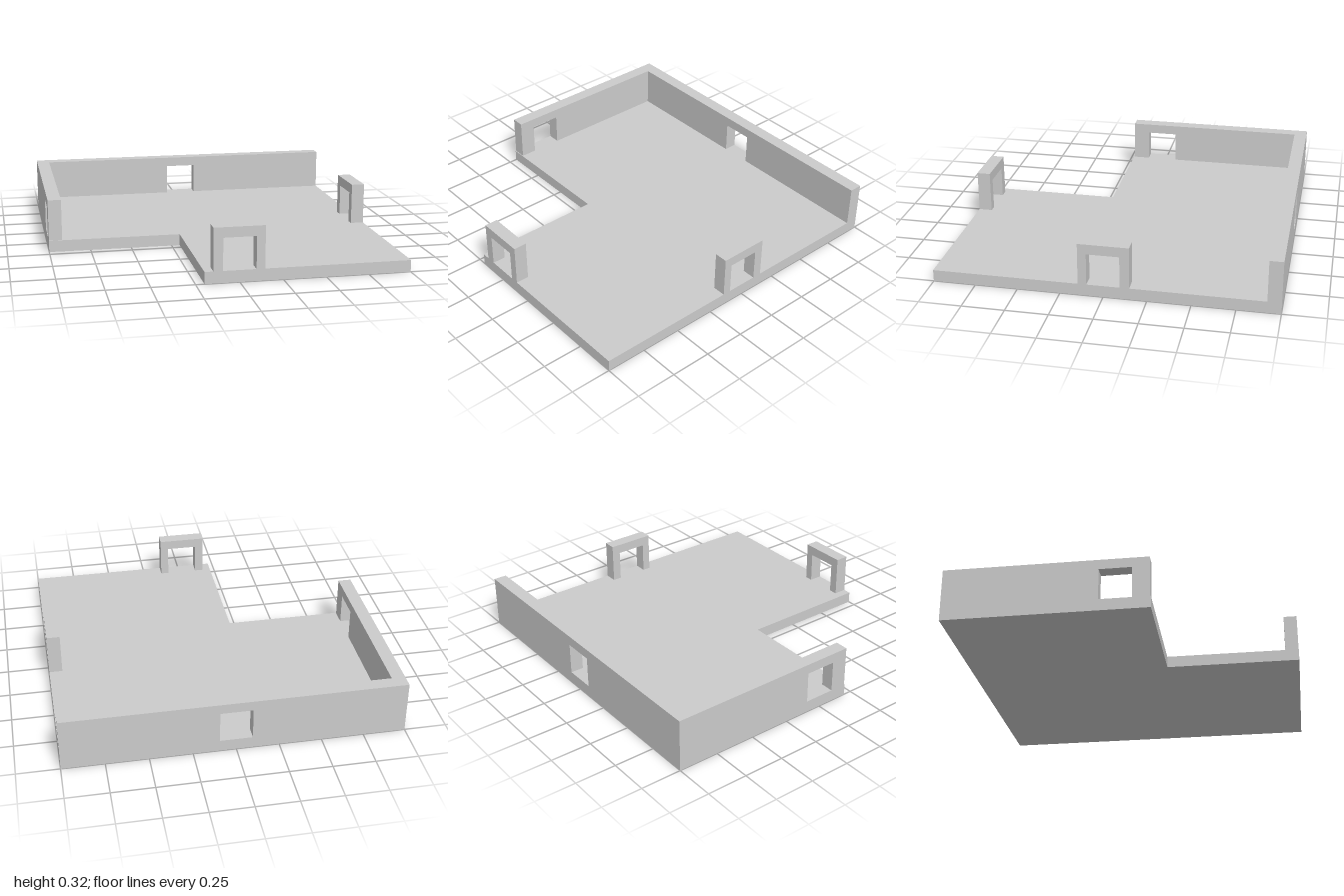
import * as THREE from 'three';

const FLOOR = 0.07, TOP = 0.32, THICK = 0.08;
const DOOR_HALF = 0.095, DOOR_TOP = 0.26;

const material = new THREE.MeshStandardMaterial({ color: 0xcccccc, flatShading: true });

const outline = (points) => new THREE.Shape(points.map(([x, y]) => new THREE.Vector2(x, y)));

const extrude = (shape, depth) => new THREE.ExtrudeGeometry(shape, { depth, bevelEnabled: false });

// Wall running from a to b, with a doorway centred on 0 that is open down to the floor
function doorWall(name, a, b) {
  const shape = outline([
    [a, FLOOR], [-DOOR_HALF, FLOOR], [-DOOR_HALF, DOOR_TOP], [DOOR_HALF, DOOR_TOP],
    [DOOR_HALF, FLOOR], [b, FLOOR], [b, TOP], [a, TOP],
  ]);
  const mesh = new THREE.Mesh(extrude(shape, THICK), material);
  mesh.name = name;
  return mesh;
}

export function createModel() {
  const group = new THREE.Group();
  group.name = 'cornerRoom';

  // L-shaped floor slab, drawn in (x, -z) and laid flat
  const floorShape = outline([[-1, -0.2], [-0.2, -0.2], [-0.2, -1], [1, -1], [1, 1], [-1, 1]]);
  const floor = new THREE.Mesh(extrude(floorShape, FLOOR), material);
  floor.name = 'floor';
  floor.rotation.x = -Math.PI / 2;

  // Long back wall and the free-standing front door frame
  const backWall = doorWall('backWall', -1, 1);
  backWall.position.z = -1;
  const frontFrame = doorWall('frontDoorFrame', -0.15, 0.145);
  frontFrame.position.z = 1 - THICK;

  // Right wall and the free-standing left door frame, turned to run along z
  const rightWall = doorWall('rightWall', -1 + THICK, 0.195);
  rightWall.position.x = -1 + THICK;
  const leftFrame = doorWall('leftDoorFrame', -0.15, 0.145);
  leftFrame.position.x = 1;
  for (const wall of [rightWall, leftFrame]) wall.rotation.y = -Math.PI / 2;

  group.add(floor, backWall, frontFrame, rightWall, leftFrame);
  return group;
}
